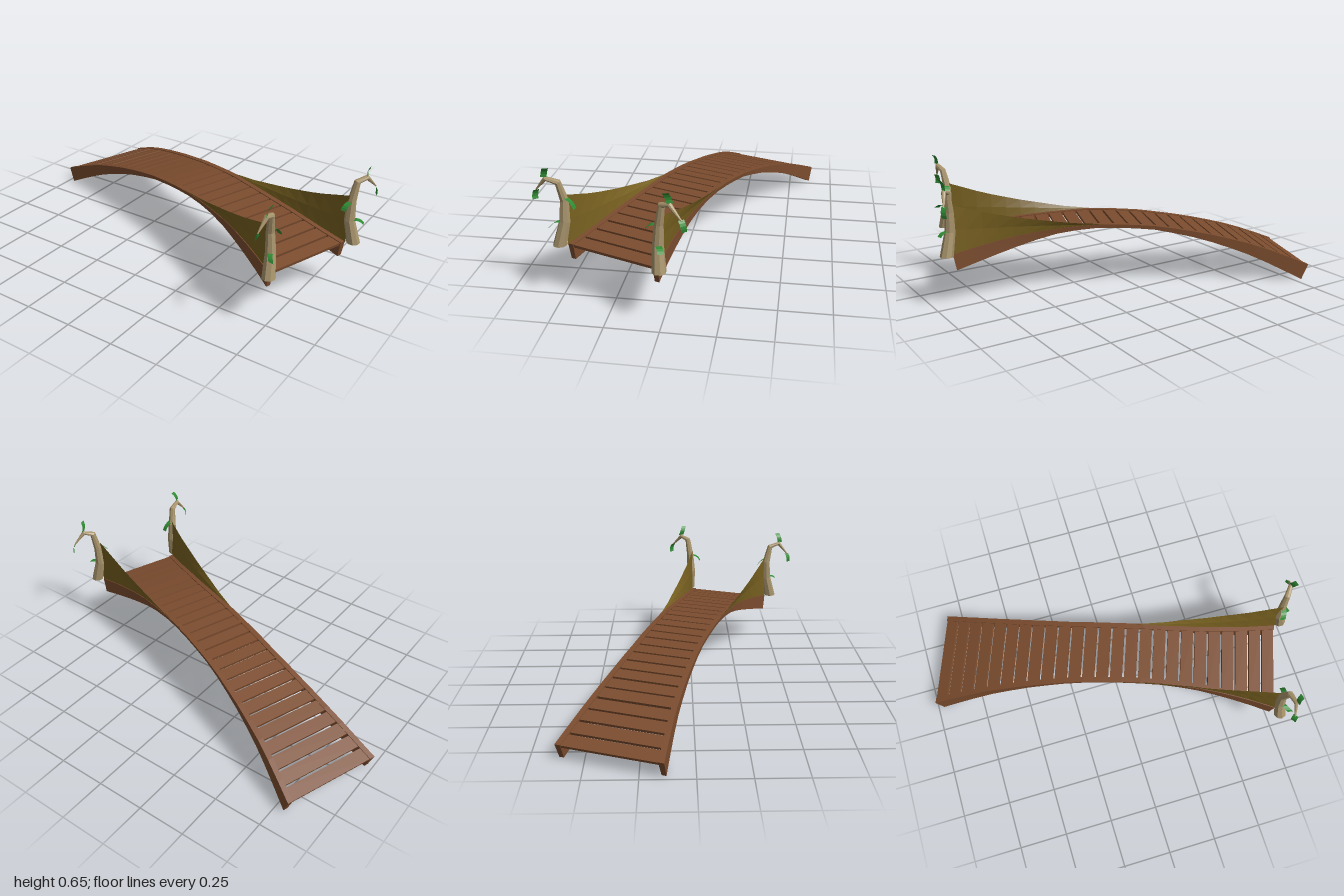
import * as THREE from 'three';

const V = (x, y, z) => new THREE.Vector3(x, y, z);
const mat = (name, color, extra = {}) =>
  Object.assign(new THREE.MeshStandardMaterial({ color, flatShading: true, ...extra }), { name });

// Linear lookup in a short list of [position, value] pairs
const table = (pts) => (s) => {
  let i = 0;
  while (i < pts.length - 2 && s > pts[i + 1][0]) i++;
  const [a, b] = [pts[i], pts[i + 1]];
  return a[1] + ((b[1] - a[1]) * (s - a[0])) / (b[0] - a[0]);
};

// Joins cross-sections into a skin; closed sections also get end caps
function loft(rings, closed) {
  const pos = [];
  const tri = (...p) => p.forEach((v) => pos.push(v.x, v.y, v.z));
  const n = rings[0].length;
  for (let i = 0; i < rings.length - 1; i++) {
    for (let j = 0; j < (closed ? n : n - 1); j++) {
      const k = (j + 1) % n;
      const [a, b, c, d] = [rings[i][j], rings[i][k], rings[i + 1][k], rings[i + 1][j]];
      tri(a, b, c);
      tri(a, c, d);
    }
  }
  if (closed) {
    const first = rings[0], last = rings[rings.length - 1];
    for (let j = 1; j < n - 1; j++) {
      tri(first[0], first[j + 1], first[j]);
      tri(last[0], last[j], last[j + 1]);
    }
  }
  const g = new THREE.BufferGeometry();
  g.setAttribute('position', new THREE.Float32BufferAttribute(pos, 3));
  g.computeVertexNormals();
  return g;
}

// Bridge profile along its length: arch height, half width, beam depth, sail top
const START = -0.99, END = 0.855;
const archY = table([[-0.99, 0.08], [-0.81, 0.155], [-0.66, 0.208], [-0.5, 0.252], [-0.34, 0.289],
  [-0.17, 0.32], [0, 0.34], [0.14, 0.347], [0.28, 0.343], [0.43, 0.333], [0.58, 0.316], [0.72, 0.29], [0.86, 0.263]]);
const halfW = table([[-0.99, 0.262], [-0.85, 0.238], [-0.7, 0.215], [-0.5, 0.193], [-0.25, 0.174], [0, 0.168],
  [0.25, 0.168], [0.45, 0.177], [0.6, 0.194], [0.72, 0.212], [0.86, 0.24]]);
const depth = table([[-0.99, 0.087], [-0.8, 0.07], [-0.6, 0.05], [-0.4, 0.032], [-0.15, 0.019], [0.2, 0.019],
  [0.36, 0.027], [0.5, 0.05], [0.65, 0.066], [0.86, 0.085]]);
const sailY = table([[0.1, 0.346], [0.26, 0.365], [0.37, 0.385], [0.5, 0.41], [0.67, 0.45], [0.86, 0.51]]);
const slope = (s) => (archY(s + 0.04) - archY(s - 0.04)) / 0.08;
const stations = (a, b, n) => Array.from({ length: n + 1 }, (_, i) => a + ((b - a) * i) / n);

export function createModel() {
  const model = new THREE.Group();
  const wood = mat('brown wood', 0x7b4c2e);
  const cloth = mat('olive cloth', 0x776020, { side: THREE.DoubleSide });
  const bark = mat('pale bark', 0xa8946c);
  const green = mat('leaf green', 0x2f8b33, { side: THREE.DoubleSide });
  const add = (parent, name, geometry, material) => {
    const m = new THREE.Mesh(geometry, material);
    m.name = name;
    parent.add(m);
    return m;
  };

  // The bridge runs diagonally
  const bridge = new THREE.Group();
  bridge.name = 'bridge';
  bridge.rotation.y = THREE.MathUtils.degToRad(-20);
  bridge.position.set(0.017, 0, -0.047);
  model.add(bridge);

  // Crescent side beams and the cloth sails rising from them
  for (const side of [1, -1]) {
    const beam = stations(START, END, 18).map((s) => {
      const m = slope(s), k = depth(s) / Math.hypot(1, m);
      const top = archY(s), w = halfW(s);
      const ring = [V(s, top, side * w), V(s + m * k, top - k, side * (w - 0.003)),
        V(s + m * k, top - k, side * (w - 0.026)), V(s, top, side * (w - 0.028))];
      return side > 0 ? ring : ring.reverse();
    });
    add(bridge, 'sideBeam', loft(beam, true), wood);

    const sail = stations(0.1, 0.86, 10).map((s) => {
      const lean = 0.022 * Math.sin((Math.PI * (s - 0.1)) / 0.76);
      const w = halfW(s) - 0.004, low = archY(s) - 0.003, high = sailY(s);
      return [V(s, high, side * (w + lean)), V(s, (low + high) / 2, side * (w + lean * 0.35)), V(s, low, side * w)];
    });
    add(bridge, 'sail', loft(sail, false), cloth);
  }

  // Deck planks following the arch
  const count = 25, pitch = (END - START) / count;
  for (let i = 0; i < count; i++) {
    const s = START + pitch * (i + 0.5), m = slope(s);
    const plank = add(bridge, 'plank',
      new THREE.BoxGeometry((pitch - 0.011) * Math.hypot(1, m), 0.015, 2 * halfW(s) - 0.03), wood);
    plank.position.set(s, archY(s) - 0.012, 0);
    plank.rotation.z = Math.atan(m);
  }

  // Hooked branch posts, thick at the foot and pointed at the tip
  const radii = [0.033, 0.026, 0.021, 0.016, 0.012, 0.003];
  function post(path, outward) {
    const across = V(outward.z, 0, -outward.x).normalize();
    const rings = path.map((p, i) => {
      const t = i === 0 ? V(0, 1, 0)
        : path[Math.min(i + 1, path.length - 1)].clone().sub(path[i - 1]).normalize();
      const u = across.clone().addScaledVector(t, -across.dot(t)).normalize();
      const v = t.clone().cross(u);
      return Array.from({ length: 8 }, (_, j) => {
        const a = (j / 8) * Math.PI * 2;
        return p.clone().addScaledVector(u, radii[i] * Math.cos(a)).addScaledVector(v, radii[i] * Math.sin(a));
      });
    });
    add(model, 'branchPost', loft(rings, true), bark);
  }
  post([V(0.755, 0.263, 0.503), V(0.745, 0.38, 0.476), V(0.738, 0.48, 0.474), V(0.75, 0.572, 0.496),
    V(0.757, 0.59, 0.55), V(0.745, 0.53, 0.6)], V(0, 0, 1));
  post([V(0.938, 0.263, 0.008), V(0.912, 0.38, 0.016), V(0.913, 0.48, 0.01), V(0.925, 0.575, -0.005),
    V(0.955, 0.59, -0.045), V(0.98, 0.53, -0.1)], V(0.4, 0, -0.9));

  // Curved strip leaves: start, end, width direction
  const alongX = V(1, 0, 0.2).normalize(), alongZ = V(0.25, 0, 1).normalize(), diagonal = V(0.6, 0, 0.8);
  const leaves = [
    [V(0.762, 0.598, 0.556), V(0.78, 0.648, 0.54), alongZ],
    [V(0.75, 0.53, 0.597), V(0.742, 0.48, 0.608), diagonal],
    [V(0.752, 0.383, 0.49), V(0.78, 0.365, 0.535), alongX],
    [V(0.745, 0.498, 0.468), V(0.758, 0.45, 0.422), alongX],
    [V(0.957, 0.598, -0.047), V(0.972, 0.65, -0.03), alongZ],
    [V(0.975, 0.535, -0.095), V(0.982, 0.483, -0.108), diagonal],
    [V(0.93, 0.385, 0.01), V(0.975, 0.368, -0.008), alongZ],
    [V(0.912, 0.478, 0.03), V(0.898, 0.447, 0.07), alongX],
  ];
  for (const [a, b, dir] of leaves) {
    const bulge = b.clone().sub(a).cross(dir).normalize();
    if (bulge.y < 0) bulge.negate();
    const rings = stations(0, 1, 4).map((t) => {
      const c = a.clone().lerp(b, t).addScaledVector(bulge, 0.032 * t * (1 - t));
      return [c.clone().addScaledVector(dir, -0.014), c.clone().addScaledVector(dir, 0.014)];
    });
    add(model, 'leaf', loft(rings, false), green);
  }
  return model;
}
